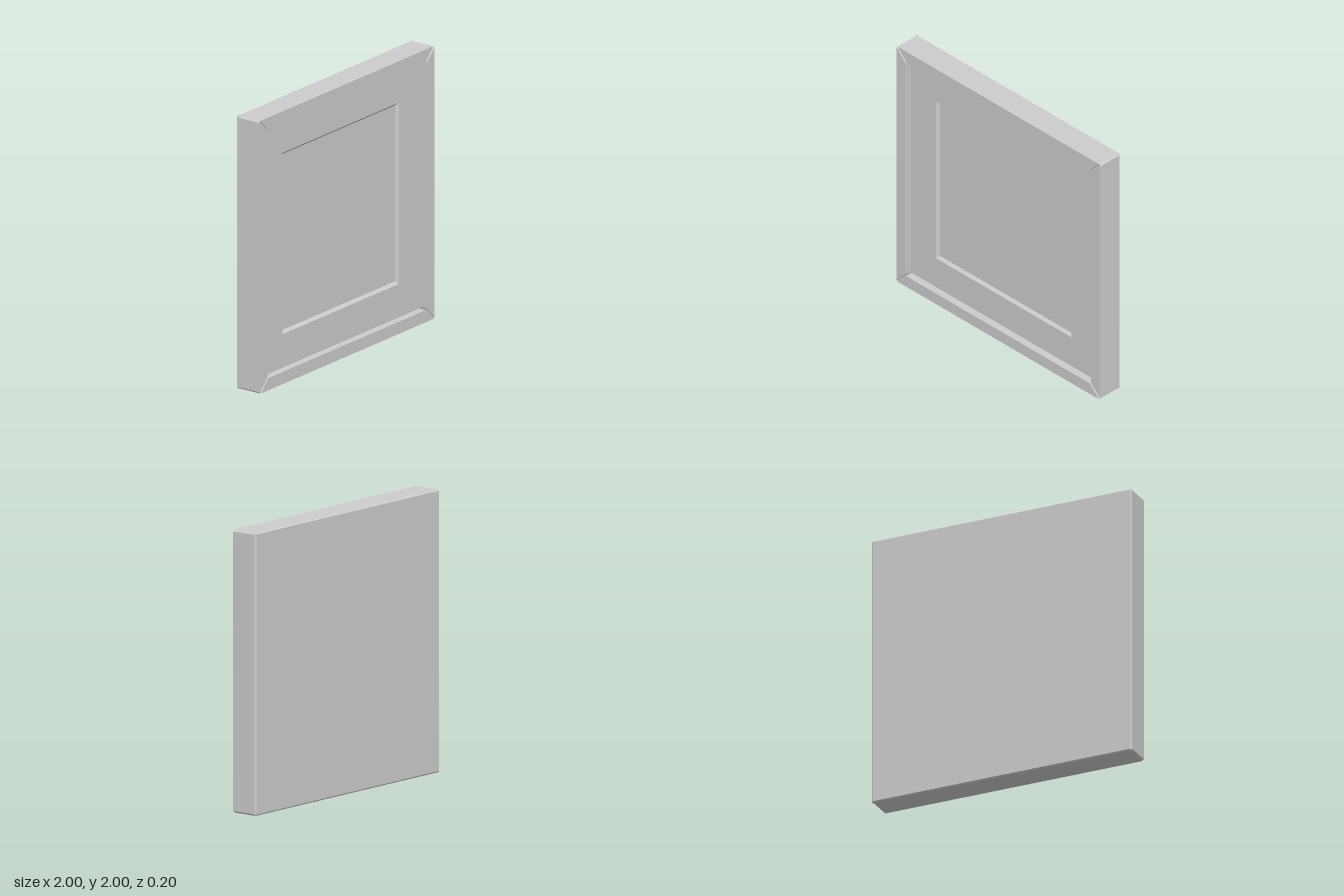
import * as THREE from 'three';

const OUTER = 1, INNER = 0.91, FRONT = 0.1, BACK = -0.09;
const MAT_Z = 0.045, ART_Z = 0.025;

// Square stepped panel facing +z, from [half width, z] steps
function squarePanel(steps) {
  const points = steps.map(([half, z]) => new THREE.Vector2(half * Math.SQRT2, z));
  const geometry = new THREE.LatheGeometry(points, 4, Math.PI / 4).toNonIndexed();
  geometry.rotateX(Math.PI / 2);
  geometry.computeVertexNormals();
  return geometry;
}

// Top rail with 45 degree ends, whose joint edges are slightly bevelled
function railGeometry() {
  const inset = 0.006, setback = 0.012;
  const profile = [[INNER, BACK], [OUTER, BACK], [OUTER, FRONT], [INNER, FRONT]];
  const shrunk = [
    [INNER + inset, BACK + inset], [OUTER - inset, BACK + inset],
    [OUTER - inset, FRONT - inset], [INNER + inset, FRONT - inset],
  ];
  const loops = [
    shrunk.map(([u, z]) => [-u, u, z]),
    profile.map(([u, z]) => [-(u - setback), u, z]),
    profile.map(([u, z]) => [u - setback, u, z]),
    shrunk.map(([u, z]) => [u, u, z]),
  ];
  const positions = [];
  const quad = (a, b, c, d) => positions.push(...a, ...b, ...d, ...b, ...c, ...d);
  for (let i = 0; i < 3; i++) {
    for (let j = 0; j < 4; j++) {
      const k = (j + 1) % 4;
      quad(loops[i][j], loops[i][k], loops[i + 1][k], loops[i + 1][j]);
    }
  }
  const [start, end] = [loops[0], loops[3]];
  quad(start[3], start[2], start[1], start[0]);
  quad(end[0], end[1], end[2], end[3]);
  const geometry = new THREE.BufferGeometry();
  geometry.setAttribute('position', new THREE.Float32BufferAttribute(positions, 3));
  geometry.computeVertexNormals();
  return geometry;
}

export function createModel() {
  const model = new THREE.Group();
  model.name = 'pictureFrame';
  const grey = new THREE.MeshStandardMaterial({ color: 0xcccccc });
  grey.name = 'plain grey';

  const add = (name, geometry) => {
    const mesh = new THREE.Mesh(geometry, grey);
    mesh.name = name;
    mesh.position.y = 1;
    model.add(mesh);
    return mesh;
  };

  // Four mitred rails
  const rail = railGeometry();
  ['topRail', 'rightRail', 'bottomRail', 'leftRail'].forEach((name, i) => {
    add(name, rail).rotation.z = i * Math.PI / 2;
  });
  model.getObjectByName('rightRail').name = 'railAtMinusX';
  model.getObjectByName('leftRail').name = 'railAtPlusX';

  // Mat with a bevelled window
  add('mat', squarePanel([[0.92, MAT_Z], [0.665, MAT_Z], [0.645, ART_Z]]));

  // Picture behind the window
  add('picture', squarePanel([[0.65, ART_Z], [0, ART_Z]]));

  // Backing board with a chamfered rear edge
  add('backingBoard', squarePanel([[0, -0.1], [0.99, -0.1], [1, BACK], [0, BACK]]));

  return model;
}
